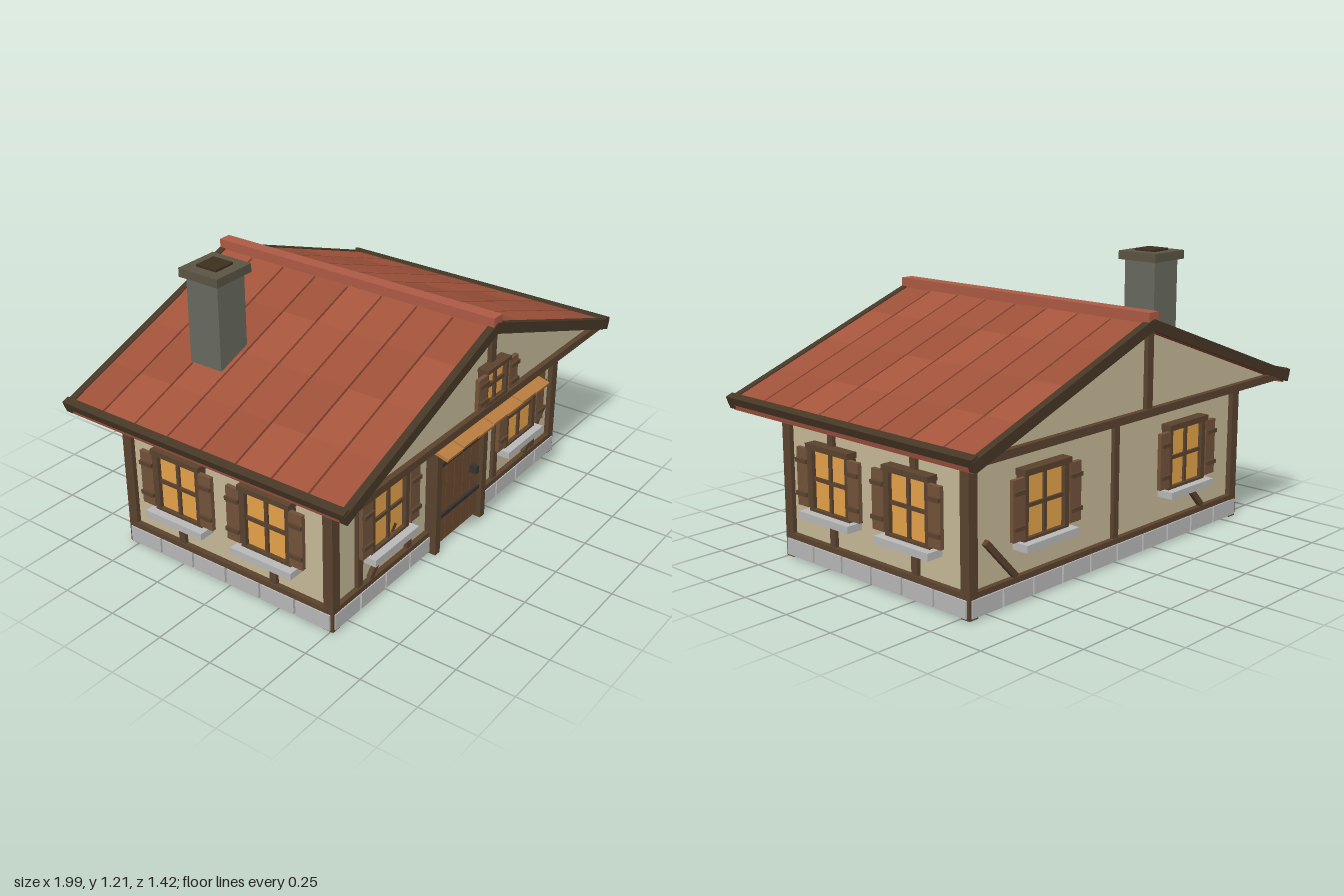
import * as THREE from 'three';

const COLORS = {
  plaster: 0xc6b998, timber: 0x5a432e, darkTimber: 0x463725, shutter: 0x72523a, glass: 0xe5a24a,
  stone: 0xb8b8b8, roof: 0xa0523a, roofDark: 0x6e3020, ridge: 0xad5a44, chimney: 0x686a60,
  cap: 0x5a5444, soot: 0x3d3020, door: 0x6a4a30, iron: 0x35322f, awning: 0xb87c40,
};
const materials = {};
for (const key in COLORS) materials[key] = new THREE.MeshStandardMaterial({ color: COLORS[key] });

const ZC = -0.016;          // middle of the house along z
const WX = 0.825, WZ = 0.505; // wall half sizes
const RZ = 0.69;            // roof half length

function box(parent, name, mat, w, h, d, x, y, z) {
  const m = new THREE.Mesh(new THREE.BoxGeometry(w, h, d), typeof mat === 'string' ? materials[mat] : mat);
  m.name = name;
  m.position.set(x, y, z);
  parent.add(m);
  return m;
}

function group(parent, name, x = 0, y = 0, z = 0, ry = 0) {
  const g = new THREE.Group();
  g.name = name;
  g.position.set(x, y, z);
  g.rotation.y = ry;
  parent.add(g);
  return g;
}

// Cross-barred window facing +z, with frame and shutters, centred on its glass
function addWindow(parent, x, y, w, h, shutterW, sill) {
  const g = group(parent, 'window', x, y, 0);
  const f = w * 0.12;
  box(g, 'glass', 'glass', w, h, 0.02, 0, 0, 0.012);
  for (const s of [-1, 1]) {
    box(g, 'frameSide', 'timber', f, h, 0.04, s * (w + f) / 2, 0, 0.02);
    const shutter = group(g, 'shutter', s * (w / 2 + f + shutterW / 2), 0, 0.037);
    box(shutter, 'shutterPanel', 'shutter', shutterW, h * 0.98, 0.018, 0, 0, 0);
    for (const t of [-1, 1]) box(shutter, 'shutterBar', 'timber', shutterW, 0.017, 0.014, 0, t * h * 0.28, 0.012);
  }
  box(g, 'lintel', 'timber', w + 2.4 * f, f, 0.05, 0, (h + f) / 2, 0.025);
  box(g, 'frameBottom', 'timber', w + 2 * f, f * 0.8, 0.04, 0, -(h + f * 0.8) / 2, 0.02);
  box(g, 'mullion', 'timber', 0.015, h, 0.02, 0, 0, 0.022);
  box(g, 'crossbar', 'timber', w, 0.015, 0.02, 0, 0, 0.022);
  if (sill) box(g, 'sill', 'stone', 0.295, 0.03, 0.075, 0, -h / 2 - 0.026, 0.037);
}

// One wall face in its own frame (+z outwards): stones, beams, posts
function addWallFace(parent, name, half, stones, posts, x, z, ry, skip = 0) {
  const g = group(parent, name, x, 0, z, ry);
  const pitch = (half * 2 + 0.03) / stones;
  for (let i = 0; i < stones; i++) {
    const sx = (i - (stones - 1) / 2) * pitch;
    if (Math.abs(sx) >= skip) box(g, 'foundationStone', 'stone', pitch - 0.01, 0.07, 0.03, sx, 0.043, 0.012);
  }
  box(g, 'sillBeam', 'timber', half * 2, 0.023, 0.03, 0, 0.091, 0.008);
  box(g, 'topBeam', 'timber', half * 2, 0.03, 0.03, 0, 0.615, 0.005);
  for (const p of posts) box(g, 'wallPost', 'timber', 0.032, 0.53, 0.028, p, 0.355, 0.003);
  return g;
}

function addBrace(face, x, lean) {
  box(face, 'brace', 'timber', 0.235, 0.024, 0.02, x, 0.19, 0.012).rotation.z = lean * 0.82;
}

function addDoor(face) {
  const g = group(face, 'door');
  for (const s of [-1, 1]) box(g, 'doorPost', 'timber', 0.034, 0.58, 0.06, s * 0.175, 0.29, 0.025);
  box(g, 'doorLintel', 'timber', 0.384, 0.034, 0.062, 0, 0.565, 0.026);
  box(g, 'doorBacking', 'darkTimber', 0.32, 0.53, 0.03, 0, 0.285, 0.01);
  for (let i = 0; i < 5; i++) box(g, 'doorPlank', 'door', 0.06, 0.525, 0.02, (i - 2) * 0.063, 0.285, 0.025);
  for (const y of [0.155, 0.4]) box(g, 'ironBand', 'iron', 0.31, 0.018, 0.012, 0, y, 0.039);
  box(g, 'doorHandle', 'iron', 0.02, 0.035, 0.035, 0.095, 0.275, 0.052);
}

function addAwning(face) {
  const g = group(face, 'awning');
  for (let i = 0; i < 7; i++) {
    const p = box(g, 'awningPlank', 'awning', 0.107, 0.014, 0.2, (i - 3) * 0.111, 0.63 + (i % 2) * 0.004, 0.125);
    p.rotation.x = 0.27;
  }
  for (const s of [-1, 1]) {
    box(g, 'awningBracket', 'darkTimber', 0.02, 0.02, 0.15, s * 0.335, 0.585, 0.075).rotation.x = -0.46;
    box(g, 'bracketPost', 'darkTimber', 0.022, 0.05, 0.02, s * 0.335, 0.575, 0.02);
  }
}

// One slope, local x running down from the ridge
function addSlope(parent, side) {
  const turn = group(parent, 'roofSlope', 0, 1.012, ZC, side < 0 ? Math.PI : 0);
  const g = group(turn, 'slopeParts');
  g.rotation.z = -Math.atan(0.365);
  const len = 1.045;
  box(g, 'roofSlab', 'roofDark', len - 0.01, 0.034, 1.35, len / 2, -0.024, 0);
  // rows of tiles in slightly varied tones
  const rows = 8, pitch = 1.35 / rows, patches = 4;
  for (let i = 0; i < rows; i++) for (let j = 0; j < patches; j++) {
    const color = new THREE.Color(COLORS.roof).multiplyScalar(0.94 + 0.04 * ((i * 5 + j * 3 + (side > 0 ? 1 : 0)) % 4));
    const mat = new THREE.MeshStandardMaterial({ color });
    box(g, 'tilePatch', mat, len / patches, 0.012, pitch - 0.009, (j + 0.5) * len / patches, -0.002, (i - (rows - 1) / 2) * pitch);
  }
  box(g, 'eaveLip', 'ridge', 0.012, 0.036, 1.35, len - 0.006, -0.026, 0);
  box(g, 'eaveTrim', 'darkTimber', 0.034, 0.034, RZ * 2, 1.036, 0.002, 0);
  for (const s of [-1, 1]) box(g, 'rakeTrim', 'darkTimber', 1.05, 0.044, 0.032, 0.525, -0.014, s * (RZ - 0.013));
}

function addRoof(parent) {
  const g = group(parent, 'roof');
  // solid core: plaster gables, red underside
  const tri = new THREE.Shape([[-0.955, 0.635], [0.955, 0.635], [0, 0.985]].map(p => new THREE.Vector2(...p)));
  const core = new THREE.Mesh(
    new THREE.ExtrudeGeometry(tri, { depth: 1.32, bevelEnabled: false }), [materials.plaster, materials.roofDark]);
  core.name = 'gableCore';
  core.position.z = ZC - 0.66;
  g.add(core);
  for (const s of [1, -1]) addSlope(g, s);
  box(g, 'ridgeCap', 'ridge', 0.058, 0.048, RZ * 2, 0, 1.023, ZC);
  for (const s of [1, -1]) {
    const gable = group(g, s > 0 ? 'frontGable' : 'backGable', 0, 0, ZC + s * 0.66, s > 0 ? 0 : Math.PI);
    box(gable, 'gableBeam', 'timber', 1.95, 0.032, 0.032, 0, 0.65, 0.008);
    box(gable, 'gablePost', 'timber', 0.036, 0.34, 0.026, 0, 0.82, 0.006);
    if (s > 0) addWindow(gable, 0, 0.768, 0.135, 0.135, 0.062, false);
  }
}

function addChimney(parent) {
  const g = group(parent, 'chimney', -0.53, 0, -0.285);
  box(g, 'chimneyStack', 'chimney', 0.158, 0.42, 0.158, 0, 0.96, 0);
  box(g, 'chimneyCap', 'cap', 0.2, 0.037, 0.196, 0, 1.18, 0);
  box(g, 'chimneyFlue', 'soot', 0.1, 0.012, 0.1, 0, 1.202, 0);
}

export function createModel() {
  const model = new THREE.Group();
  model.name = 'cottage';
  box(model, 'walls', 'plaster', WX * 2, 0.63, WZ * 2, 0, 0.322, ZC);
  box(model, 'floor', 'cap', WX * 2, 0.006, WZ * 2, 0, 0.005, ZC);

  for (const sx of [-1, 1]) for (const sz of [-1, 1])
    box(model, 'cornerPost', 'timber', 0.045, 0.63, 0.045, sx * 0.8225, 0.315, ZC + sz * 0.505);

  const front = addWallFace(model, 'frontWall', WX, 10, [-0.66, -0.33, 0.33, 0.66], 0, ZC + WZ, 0, 0.1);
  const back = addWallFace(model, 'backWall', WX, 10, [0], 0, ZC - WZ, Math.PI);
  for (const s of [-1, 1]) {
    addWindow(front, s * 0.495, 0.37, 0.205, 0.245, 0.064, true);
    addWindow(back, s * 0.445, 0.37, 0.205, 0.245, 0.064, true);
    const side = addWallFace(model, s > 0 ? 'leftWall' : 'rightWall', WZ, 6, [-0.235, 0.235], s * WX, ZC, s * Math.PI / 2);
    for (const t of [-1, 1]) addWindow(side, t * 0.223, 0.37, 0.195, 0.245, 0.064, true);
  }
  for (const x of [-0.515, 0.67]) {
    addBrace(front, x, 1);
    addBrace(back, -x, -1);
  }
  addDoor(front);
  addAwning(front);
  addRoof(model);
  addChimney(model);
  return model;
}
